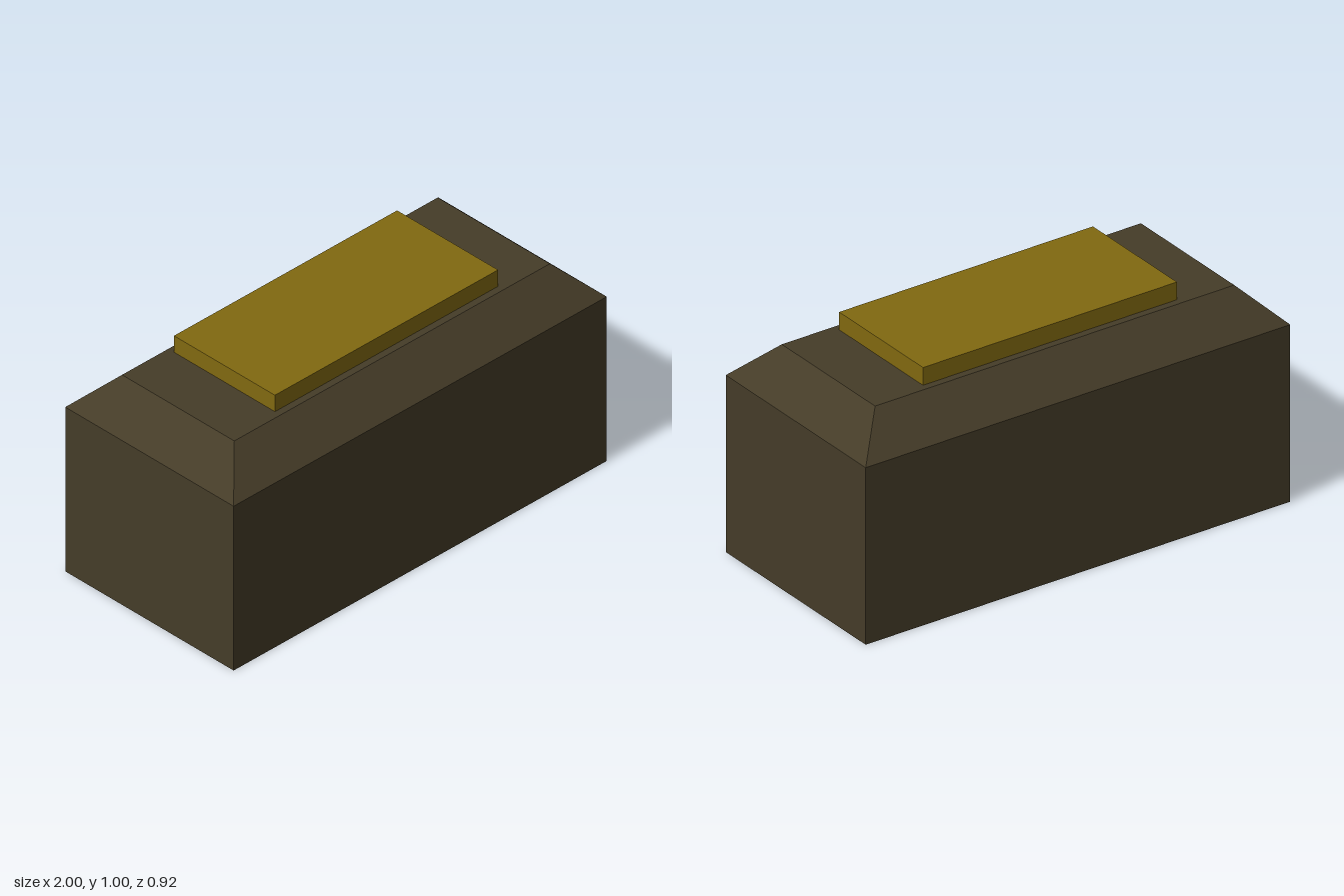
import * as THREE from 'three';

// Rectangular cross-section: half width, height, half depth
const ring = (w, y, d) => [[-w, y, d], [w, y, d], [w, y, -d], [-w, y, -d]];

// Open-bottomed shell lofted through the rings, with a flat lid on the last one
function loftShell(rings) {
  const pos = [];
  const quad = (a, b, c, d) => pos.push(...a, ...b, ...c, ...a, ...c, ...d);
  for (let r = 0; r < rings.length - 1; r++) {
    const lo = rings[r], hi = rings[r + 1];
    for (let i = 0; i < 4; i++) {
      const j = (i + 1) % 4;
      quad(lo[i], lo[j], hi[j], hi[i]);
    }
  }
  quad(...rings[rings.length - 1]);
  const geo = new THREE.BufferGeometry();
  geo.setAttribute('position', new THREE.Float32BufferAttribute(pos, 3));
  geo.computeVertexNormals();
  return geo;
}

export function createModel() {
  const group = new THREE.Group();
  group.name = 'chamferedBlock';

  const darkBrown = new THREE.MeshStandardMaterial({ color: 0x453c28, flatShading: true, side: THREE.DoubleSide });
  darkBrown.name = 'dark brown';
  const gold = new THREE.MeshStandardMaterial({ color: 0x816910, flatShading: true });
  gold.name = 'dark gold';

  // Hollow body: upright walls, sloped shoulders, flat top, no floor
  const body = new THREE.Mesh(
    loftShell([ring(1, 0, 0.462), ring(1, 0.77, 0.462), ring(0.846, 0.923, 0.308)]),
    darkBrown
  );
  body.name = 'body';
  group.add(body);

  // Raised plate on the flat top
  const plate = new THREE.Mesh(new THREE.BoxGeometry(1.196, 0.077, 0.554), gold);
  plate.name = 'topPlate';
  plate.position.y = 0.9615;
  group.add(plate);

  return group;
}
